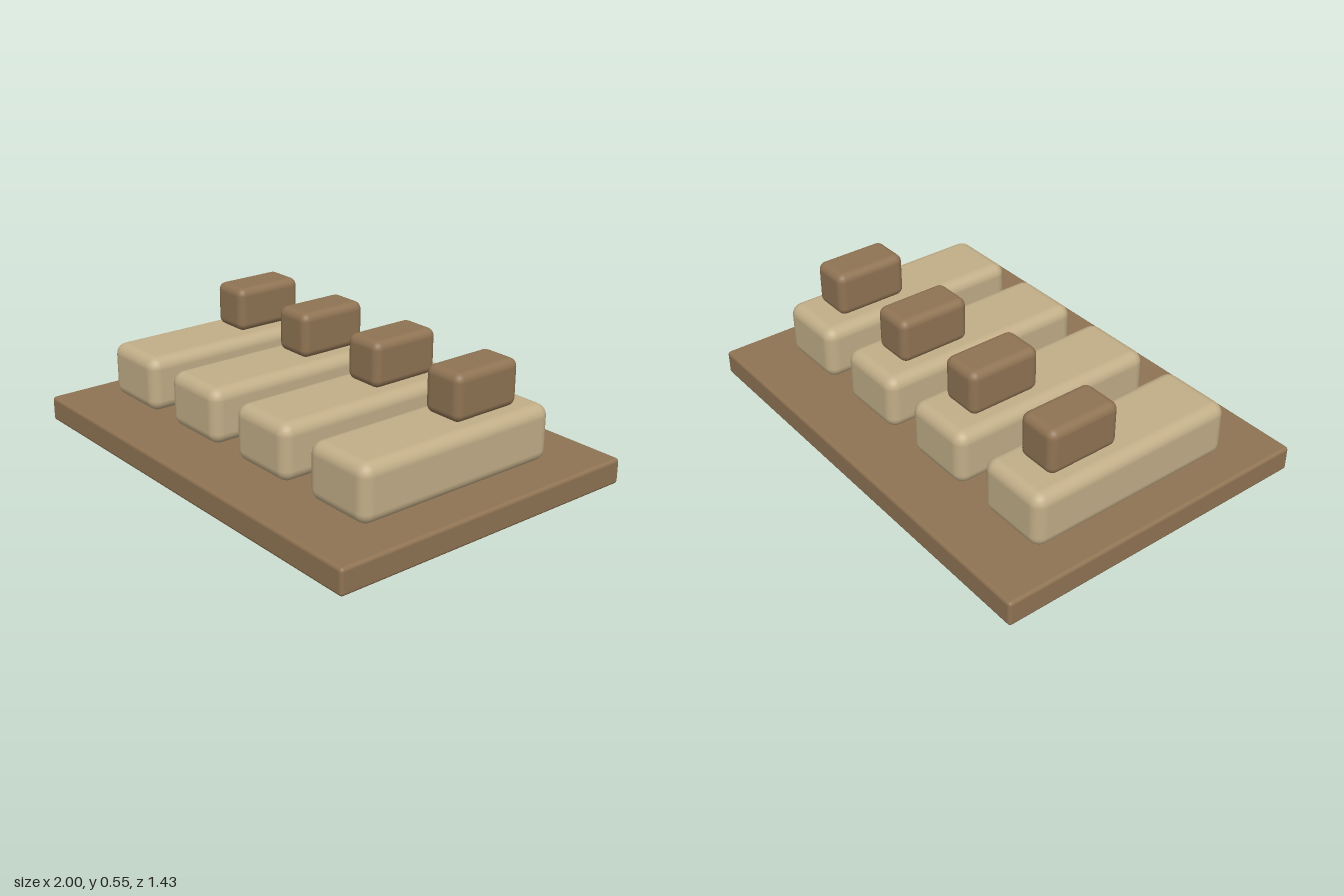
import * as THREE from 'three';
import { RoundedBoxGeometry } from 'three/addons/geometries/RoundedBoxGeometry.js';

const wood = new THREE.MeshStandardMaterial({ color: 0x8f7353 });
const cream = new THREE.MeshStandardMaterial({ color: 0xc2ae88 });

// Rounded block whose underside sits at height y
function block(name, material, [w, h, d], radius, x, y, z) {
  const mesh = new THREE.Mesh(new RoundedBoxGeometry(w, h, d, 4, radius), material);
  mesh.name = name;
  mesh.position.set(x, y + h / 2, z);
  return mesh;
}

export function createModel() {
  const model = new THREE.Group();
  model.name = 'keyBoard';

  // Base board
  model.add(block('baseBoard', wood, [2, 0.11, 1.43], 0.015, 0, 0, 0));

  // Four long keys, each with a small block toward the back
  for (let i = 0; i < 4; i++) {
    const key = new THREE.Group();
    key.name = `key${i + 1}`;
    key.position.x = -0.697 + i * 0.457;
    key.add(block('longKey', cream, [0.324, 0.24, 0.956], 0.05, 0, 0.11, 0));
    key.add(block('topBlock', wood, [0.185, 0.196, 0.326], 0.035, 0, 0.35, -0.197));
    model.add(key);
  }
  return model;
}
